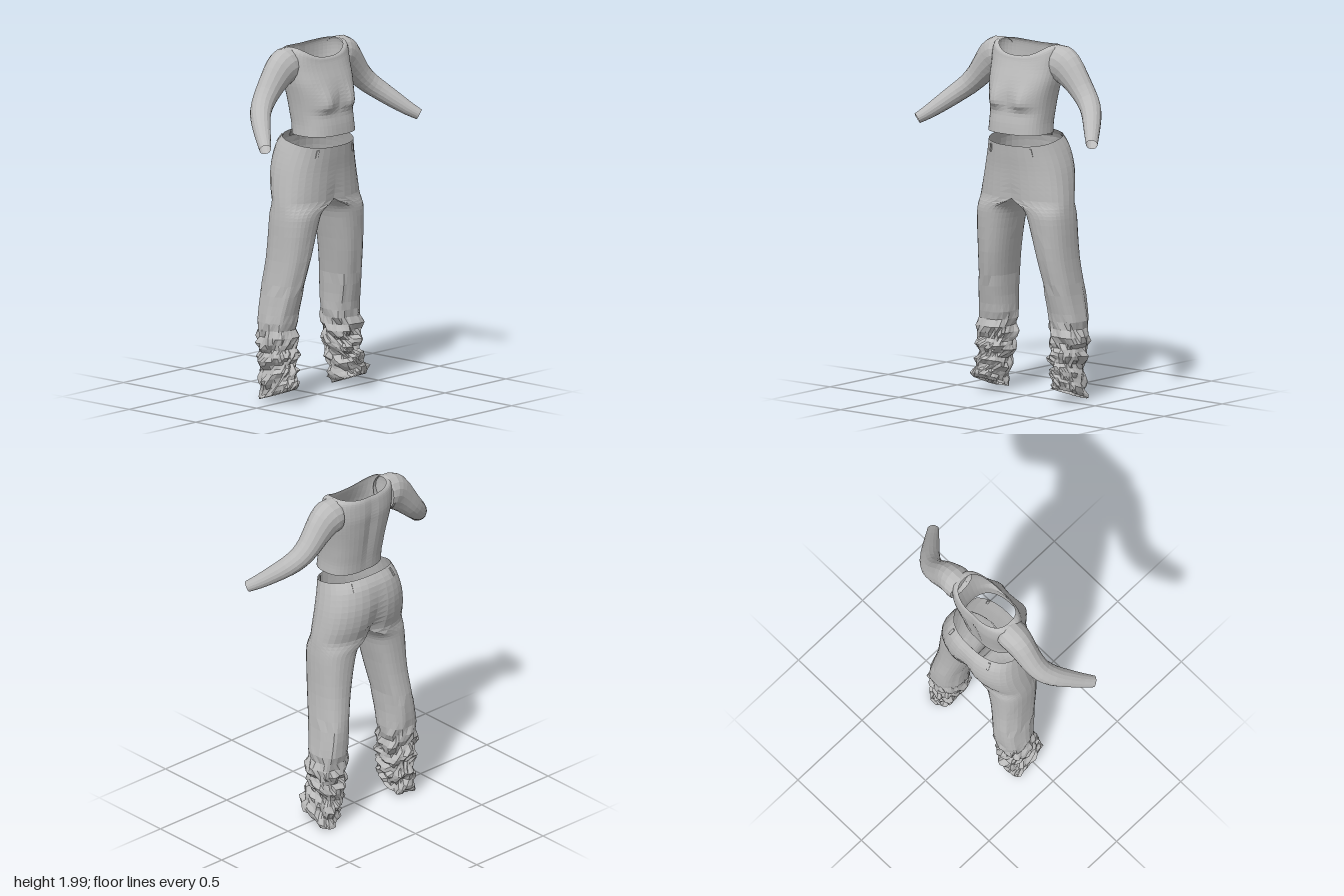
import * as THREE from 'three';

const { exp, cos, sin, abs, max, min, sign, PI, floor } = Math;
const pw = (v, e) => sign(v) * abs(v) ** e;
const gauss = (d, s) => exp(-((d / s) ** 2));
const hash = (i, j, s) => {
  const h = sin(i * 127.1 + j * 311.7 + s * 74.7) * 43758.5453;
  return (h - floor(h)) * 2 - 1;
};

// Smoothly interpolate a table of key cross-sections at u (0 .. rows - 1)
function sample(rows, u) {
  const n = rows.length - 1, i = min(floor(u), n - 1), t = u - i;
  const [a, b, c, d] = [max(i - 1, 0), i, i + 1, min(i + 2, n)].map(k => rows[k]);
  return b.map((_, k) => b[k] + 0.5 * t * (c[k] - a[k] +
    t * (2 * a[k] - 5 * b[k] + 4 * c[k] - d[k] + t * (3 * (b[k] - c[k]) + d[k] - a[k]))));
}

// Skin closed rings: point(i, j) gives [x, y, z]; skip(i, j) leaves a quad open
function loft(sides, rings, point, flip, skip = () => false) {
  const pos = [], idx = [];
  for (let j = 0; j <= rings; j++) for (let i = 0; i < sides; i++) pos.push(...point(i, j));
  for (let j = 0; j < rings; j++) for (let i = 0; i < sides; i++) {
    if (skip(i, j)) continue;
    const a = j * sides + i, b = j * sides + (i + 1) % sides, c = a + sides, d = b + sides;
    if (flip) idx.push(a, b, c, b, d, c); else idx.push(a, c, b, b, c, d);
  }
  const g = new THREE.BufferGeometry();
  g.setAttribute('position', new THREE.Float32BufferAttribute(pos, 3));
  g.setIndex(idx);
  g.computeVertexNormals();
  return g;
}

// Shirt body: y front, y side, y back, half width, z front, z back
const TORSO = [
  [1.50, 1.50, 1.50, 0.186, 0.185, -0.095],
  [1.56, 1.56, 1.56, 0.184, 0.178, -0.102],
  [1.62, 1.62, 1.62, 0.188, 0.166, -0.112],
  [1.68, 1.68, 1.68, 0.195, 0.165, -0.122],
  [1.74, 1.74, 1.74, 0.205, 0.160, -0.132],
  [1.80, 1.80, 1.80, 0.216, 0.143, -0.140],
  [1.86, 1.87, 1.86, 0.222, 0.118, -0.147],
  [1.90, 1.94, 1.92, 0.224, 0.102, -0.145],
  [1.92, 1.985, 1.955, 0.212, 0.096, -0.141],
  [1.93, 1.993, 1.975, 0.180, 0.088, -0.132],
];

// Sleeve: centre x, y, z, radius across the arm, radius front to back
const SLEEVE = [
  [0.185, 1.895, -0.038, 0.096, 0.085],
  [0.225, 1.893, -0.038, 0.104, 0.088],
  [0.270, 1.868, -0.038, 0.100, 0.080],
  [0.325, 1.815, -0.038, 0.083, 0.072],
  [0.375, 1.760, -0.036, 0.070, 0.067],
  [0.430, 1.705, -0.022, 0.061, 0.063],
  [0.485, 1.655, 0.015, 0.055, 0.058],
  [0.540, 1.600, 0.075, 0.048, 0.050],
  [0.590, 1.550, 0.135, 0.039, 0.041],
  [0.632, 1.514, 0.186, 0.030, 0.033],
];

// Trouser half: y, outer x, inner x, middle x, z front, z back, cleft depth
const LEG = [
  [1.463, 0.220, 0, 0, 0.155, -0.150, 0],
  [1.40, 0.240, 0, 0, 0.150, -0.190, 0.02],
  [1.31, 0.265, 0, 0, 0.143, -0.209, 0.06],
  [1.22, 0.283, 0, 0, 0.140, -0.198, 0.14],
  [1.13, 0.297, 0, 0, 0.138, -0.168, 0.28],
  [1.07, 0.302, 0.040, 0.140, 0.134, -0.153, 0],
  [1.00, 0.306, 0.070, 0.180, 0.130, -0.150, 0],
  [0.80, 0.311, 0.115, 0.210, 0.108, -0.155, 0],
  [0.60, 0.330, 0.150, 0.240, 0.070, -0.174, 0],
  [0.45, 0.353, 0.156, 0.255, 0.040, -0.172, 0],
  [0.33, 0.366, 0.162, 0.265, 0.045, -0.162, 0],
  [0.25, 0.355, 0.172, 0.265, 0.055, -0.162, 0],
  [0.17, 0.336, 0.195, 0.265, 0.065, -0.160, 0],
  [0.08, 0.355, 0.202, 0.280, 0.082, -0.148, 0],
  [0.01, 0.350, 0.225, 0.290, 0.085, -0.143, 0],
];
const CROTCH = 4, STEP = 3, LEG_SIDES = 32;

function torsoPoint(a, u) {
  const [yF, yS, yB, w, zF, zB] = sample(TORSO, u);
  const c = cos(a), s = sin(a), mid = s > 0 ? yF : yB;
  const x = w * pw(c, 0.78), y = mid + (yS - mid) * c * c;
  let z = (zF + zB) / 2 + (zF - zB) / 2 * pw(s, 0.78);
  // bust at the front, shallow spine groove at the back
  if (s > 0) z += 0.032 * s * gauss(abs(x) - 0.1, 0.055) * gauss(y - 1.67, y < 1.67 ? 0.032 : 0.08);
  else z += 0.012 * gauss(x, 0.03) * gauss(y - 1.75, 0.2);
  return [x, y, z];
}

function legPoint(a, u, wrinkle = 0) {
  const [y, xo, xi, cx, zF, zB, k] = sample(LEG, u);
  const c = cos(a), s = sin(a), mid = max(cx, 0), inner = max(xi, 0);
  const zc = (zF + zB) / 2;
  let x = mid + (c > 0 ? xo - mid : mid - inner) * pw(c, 0.82);
  let z = zc + (zF - zB) / 2 * pw(s, 0.82);
  z *= 1 - max(k, 0) * (s > 0 ? 0.35 : 1) * gauss(x, 0.06);
  if (u > CROTCH + 1) { x += wrinkle * c; z += wrinkle * s; }
  // waistband rises to the back, hem drops to the back
  const waist = min(max((y - 1.2) / 0.2, 0), 1), hem = min(max((0.3 - y) / 0.25, 0), 1);
  return [x, max(y - 0.2 * z * waist + 0.36 * (z + 0.145) * hem - 0.008 * hem, 0), z];
}

// Bunched folds near the ankle, faint creases higher up
function wrinkleAt(i, j, a, seed) {
  const y = sample(LEG, j / STEP)[0];
  const bunch = min(max((0.47 - y) / 0.12, 0), 1), crease = min(max((1.0 - y) / 0.4, 0), 1);
  const fold = sin(y * 58 + 1.3 * sin(a * 2 + seed) + sin(a * 3 + seed * 2));
  return bunch * (0.013 * fold + 0.011 * hash(i, j, seed) - 0.003)
    + crease * 0.005 * hash(floor(i / 2), floor(j / 4), seed);
}

export function createModel() {
  const model = new THREE.Group();
  const cloth = new THREE.MeshStandardMaterial({ color: 0xbbbbbb, flatShading: true, side: THREE.DoubleSide });
  cloth.name = 'grey cloth';
  const add = (name, geometry, parent = model) => {
    const m = new THREE.Mesh(geometry, cloth);
    m.name = name;
    parent.add(m);
    return m;
  };
  const shirt = new THREE.Group(), trousers = new THREE.Group();
  shirt.name = 'shirt';
  trousers.name = 'trousers';
  model.add(shirt, trousers);

  // Shirt body, open at the neck and hem
  const N = 40, rows = (TORSO.length - 1) * 3;
  add('shirtBody', loft(N, rows, (i, j) => torsoPoint(i / N * 2 * PI, j / 3), false), shirt);

  for (const side of [1, -1]) {
    const label = side > 0 ? 'left' : 'right';

    // Sleeve swept along the bent arm
    const S = 16, steps = (SLEEVE.length - 1) * 2, zAxis = new THREE.Vector3(0, 0, 1);
    const centre = u => new THREE.Vector3(...sample(SLEEVE, u).slice(0, 3));
    add(label + 'Sleeve', loft(S, steps, (i, j) => {
      const u = j / 2, a = i / S * 2 * PI, [, , , rb, rc] = sample(SLEEVE, u);
      const t = centre(min(u + 0.1, SLEEVE.length - 1)).sub(centre(max(u - 0.1, 0))).normalize();
      const b = zAxis.clone().cross(t).normalize(), c = t.clone().cross(b);
      const p = centre(u).addScaledVector(b, rb * cos(a)).addScaledVector(c, rc * sin(a));
      return [p.x * side, p.y, p.z];
    }, side > 0), shirt);

    // Trouser half: open along the centre above the crotch, a closed leg below
    const seed = side > 0 ? 3 : 8;
    add(label + 'TrouserLeg', loft(LEG_SIDES, (LEG.length - 1) * STEP, (i, j) => {
      const a = i / LEG_SIDES * 2 * PI;
      const [x, y, z] = legPoint(a, j / STEP, wrinkleAt(i, j, a, seed));
      return [x * side, y, z];
    }, side > 0, (i, j) => j < CROTCH * STEP && cos((i + 0.5) / LEG_SIDES * 2 * PI) < 0), trousers);

    // Belt loops laid on the waistband
    for (const a of [0.98, -0.98]) {
      const top = legPoint(a, 0.3), low = legPoint(a, 0.95);
      const p = new THREE.Vector3(top[0] * side, top[1], top[2]);
      const q = new THREE.Vector3(low[0] * side, low[1], low[2]);
      const loop = add(label + 'BeltLoop', new THREE.BoxGeometry(0.014, p.distanceTo(q), 0.012), trousers);
      loop.position.copy(p).add(q).multiplyScalar(0.5);
      loop.quaternion.setFromUnitVectors(new THREE.Vector3(0, 1, 0), p.clone().sub(q).normalize());
      loop.rotateY(side * sign(a) * 0.45);
    }
  }

  // Plain patch inside the back of the waistband
  const patch = add('waistPatch', new THREE.BoxGeometry(0.1, 0.035, 0.006), trousers);
  patch.position.set(0, 1.468, -0.157);
  patch.rotation.x = 0.5;
  return model;
}
